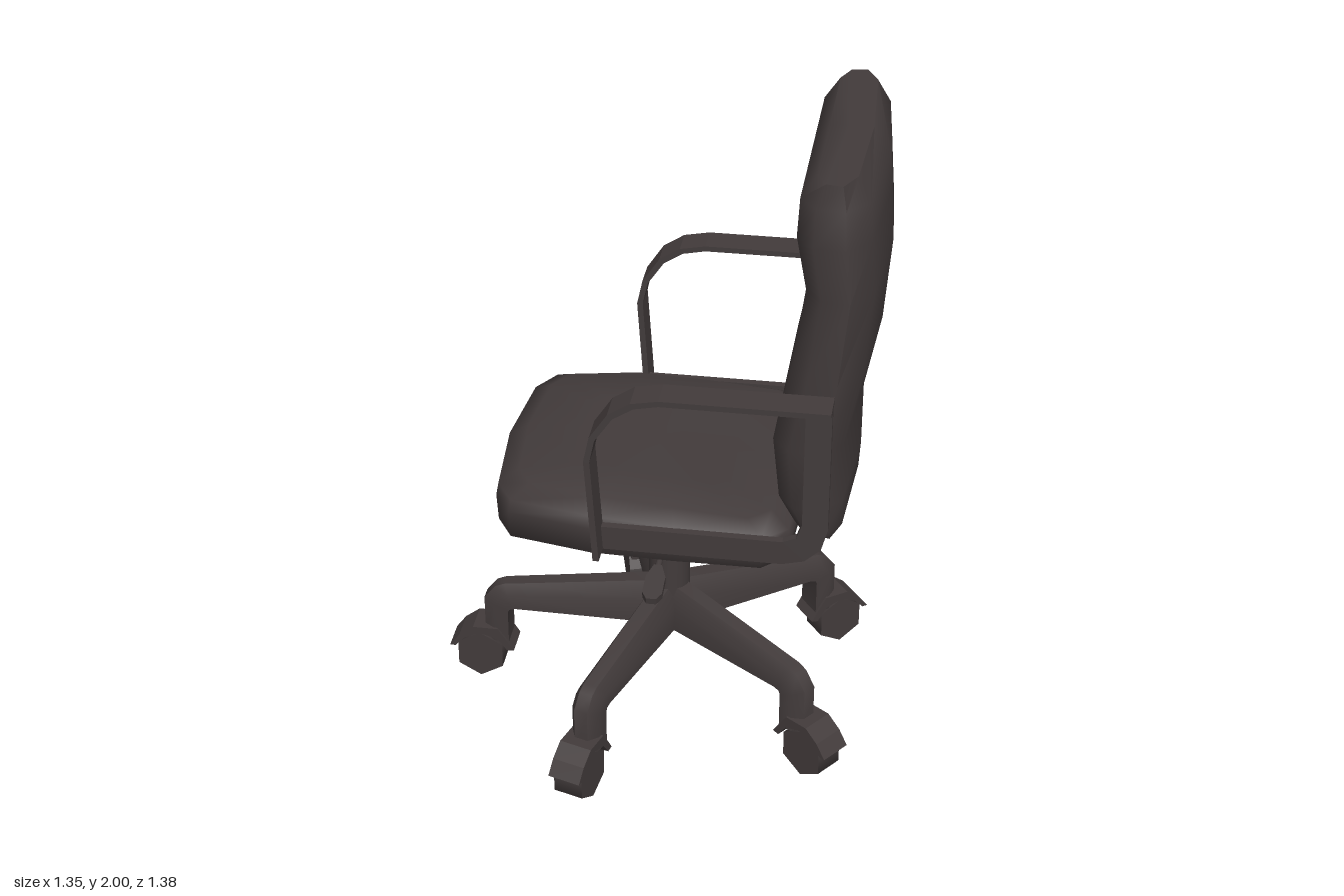
import * as THREE from 'three';
import { toCreasedNormals } from 'three/addons/utils/BufferGeometryUtils.js';

const charcoal = new THREE.MeshStandardMaterial({ color: 0x423b3b });
charcoal.name = 'charcoal';

const HUB_X = 0.025;

function addMesh(parent, name, geometry, x = 0, y = 0, z = 0) {
  const mesh = new THREE.Mesh(geometry, charcoal);
  mesh.name = name;
  mesh.position.set(x, y, z);
  parent.add(mesh);
  return mesh;
}

// Closed skin over rings of [x, y, z] points, with a fan cap at each end
function loft(rings, crease) {
  const n = rings[0].length;
  const pts = rings.flat();
  const index = [];
  for (let r = 0; r < rings.length - 1; r++) {
    for (let i = 0; i < n; i++) {
      const a = r * n + i, b = r * n + (i + 1) % n;
      index.push(a, b, b + n, a, b + n, a + n);
    }
  }
  [0, rings.length - 1].forEach((r, end) => {
    const mid = [0, 1, 2].map(k => rings[r].reduce((s, p) => s + p[k], 0) / n);
    const c = pts.push(mid) - 1;
    for (let i = 0; i < n; i++) {
      const a = r * n + i, b = r * n + (i + 1) % n;
      index.push(c, ...(end ? [a, b] : [b, a]));
    }
  });
  // Turn the faces outwards if the rings ran the other way
  let volume = 0;
  const v = i => new THREE.Vector3(...pts[i]);
  for (let i = 0; i < index.length; i += 3) {
    volume += v(index[i]).dot(v(index[i + 1]).cross(v(index[i + 2])));
  }
  if (volume < 0) index.reverse();
  const g = new THREE.BufferGeometry();
  g.setAttribute('position', new THREE.Float32BufferAttribute(pts.flat(), 3));
  g.setIndex(index);
  return toCreasedNormals(g, crease);
}

// Side outline extruded along z, centred on z = 0
function plate(points, depth) {
  const shape = new THREE.Shape(points.map(p => new THREE.Vector2(...p)));
  const g = new THREE.ExtrudeGeometry(shape, { depth, bevelEnabled: false });
  return g.translate(0, 0, -depth / 2);
}

function seatGeometry() {
  const half = [[-0.455, 0.29], [-0.4, 0.38], [-0.15, 0.43], [0.1, 0.438], [0.36, 0.435], [0.435, 0.36]];
  const outline = [[-0.48, 0], ...half, [0.455, 0], ...half.map(([x, z]) => [x, -z]).reverse()];
  const levels = [[0.728, 0.6], [0.738, 0.86], [0.775, 0.99], [0.86, 1], [0.9, 0.985], [0.934, 0.86], [0.942, 0.5]];
  return loft(levels.map(([y, s]) => outline.map(([x, z]) => {
    const drop = y > 0.8 ? 0.06 * Math.max(0, x + 0.1) : 0;
    return [x * s, y - drop, z * s];
  })), 1.2);
}

function backrestGeometry() {
  // Height, front x, rear x, half width
  const levels = [
    [0.85, 0.5, 0.58, 0.36], [0.885, 0.44, 0.6, 0.4], [0.97, 0.395, 0.605, 0.41],
    [1.17, 0.375, 0.605, 0.425], [1.4, 0.42, 0.65, 0.43], [1.66, 0.455, 0.67, 0.43],
    [1.82, 0.425, 0.66, 0.43], [1.93, 0.43, 0.65, 0.415], [2, 0.475, 0.6, 0.4],
  ];
  return loft(levels.map(([y, f, b, w]) => {
    const d = b - f;
    const side = [[f, 0.82 * w], [f + 0.22 * d, 0.98 * w], [b - 0.4 * d, w], [b - 0.12 * d, 0.82 * w]];
    return [[f, 0], ...side, [b, 0], ...side.map(([x, z]) => [x, -z]).reverse()]
      .map(([x, z]) => [x, y, z]);
  }), 1.0);
}

// Leg along +x: tapers outwards, then bends down into the caster post
function legGeometry() {
  // Upper edge, lower edge, half width of ridge, half width of base
  const sections = [
    [[0, 0.42], [0, 0.27], 0.025, 0.05],
    [[0.05, 0.415], [0.05, 0.27], 0.025, 0.05],
    [[0.53, 0.348], [0.49, 0.27], 0.022, 0.045],
    [[0.56, 0.335], [0.51, 0.265], 0.022, 0.045],
    [[0.595, 0.29], [0.515, 0.255], 0.022, 0.045],
    [[0.595, 0.14], [0.515, 0.14], 0.022, 0.045],
  ];
  return loft(sections.map(([o, i, t, w]) => {
    const m = [o[0] * 0.6 + i[0] * 0.4, o[1] * 0.6 + i[1] * 0.4];
    return [[...o, t], [...m, w], [...i, w], [...i, -w], [...m, -w], [...o, -t]];
  }), 0.7);
}

function makeLeg() {
  const leg = new THREE.Group();
  addMesh(leg, 'legArm', legGeometry());
  const wheel = new THREE.CylinderGeometry(0.083, 0.083, 0.094, 6).rotateX(Math.PI / 2);
  addMesh(leg, 'casterWheel', wheel, 0.61, 0.083, 0);
  const hood = [
    [0.098, 0.112], [0.066, 0.155], [0.02, 0.19], [-0.06, 0.19], [-0.088, 0.15], [-0.112, 0.112],
    [-0.09, 0.108], [-0.06, 0.15], [0, 0.168], [0.05, 0.145], [0.08, 0.112],
  ];
  addMesh(leg, 'casterHood', plate(hood, 0.104), 0.61, 0, 0);
  return leg;
}

function makeArmrest(side) {
  const arm = new THREE.Group();
  // Wide thin band: front upright curving into the arm pad
  const band = [
    [-0.122, 0.815], [-0.145, 1.15], [-0.128, 1.23], [-0.075, 1.31], [-0.01, 1.352], [0.07, 1.367], [0.552, 1.367],
    [0.552, 1.35], [0.07, 1.35], [0, 1.336], [-0.06, 1.298], [-0.112, 1.222], [-0.127, 1.15], [-0.104, 0.815],
  ];
  addMesh(arm, 'armBand', plate(band, 0.098), 0, 0, side * 0.478);
  // Narrow bracket: lower rail curving up behind the backrest edge
  const bracket = [
    [-0.115, 0.812], [0.42, 0.812], [0.485, 0.828], [0.532, 0.872], [0.55, 0.94], [0.55, 1.355],
    [0.475, 1.355], [0.475, 0.95], [0.46, 0.905], [0.42, 0.888], [-0.115, 0.888],
  ];
  addMesh(arm, 'armBracket', plate(bracket, 0.025), 0, 0, side * 0.443);
  return arm;
}

export function createModel() {
  const chair = new THREE.Group();
  chair.name = 'officeChair';

  addMesh(chair, 'seat', seatGeometry());
  addMesh(chair, 'backrest', backrestGeometry());

  for (const side of [1, -1]) {
    const arm = makeArmrest(side);
    arm.name = side > 0 ? 'frontArmrest' : 'rearArmrest';
    chair.add(arm);
  }

  // Mounting plate, narrower below
  const rect = (y, x, z) => [[-x, y, -z], [x, y, -z], [x, y, z], [-x, y, z]];
  addMesh(chair, 'seatPlate', loft([rect(0.708, 0.145, 0.075), rect(0.738, 0.175, 0.085)], 0.5), 0.01);

  // Gas lift column
  const tube = (r, h) => new THREE.CylinderGeometry(r, r, h, 16);
  addMesh(chair, 'liftPiston', tube(0.036, 0.16), HUB_X, 0.64, 0);
  addMesh(chair, 'liftSleeve', tube(0.065, 0.31), HUB_X, 0.425, 0);

  // Height lever with a flat paddle
  const lever = new THREE.Group();
  lever.name = 'heightLever';
  addMesh(lever, 'leverRod', new THREE.CylinderGeometry(0.01, 0.01, 0.28, 8).rotateX(Math.PI / 2), 0, 0, 0.14);
  const paddle = [[0.24, 0.012], [0.29, 0.03], [0.36, 0.03], [0.385, 0.015]].map(([z, w]) =>
    [[-w, -0.011, z], [w, -0.011, z], [w, 0.011, z], [-w, 0.011, z]]);
  addMesh(lever, 'leverPaddle', loft(paddle, 0.6));
  lever.position.set(HUB_X, 0.657, 0);
  lever.rotation.x = 0.19;
  chair.add(lever);

  // Five-star base
  for (let i = 0; i < 5; i++) {
    const leg = makeLeg();
    leg.name = 'baseLeg' + (i + 1);
    leg.position.x = HUB_X;
    leg.rotation.y = Math.PI + i * Math.PI * 2 / 5;
    chair.add(leg);
  }
  return chair;
}
